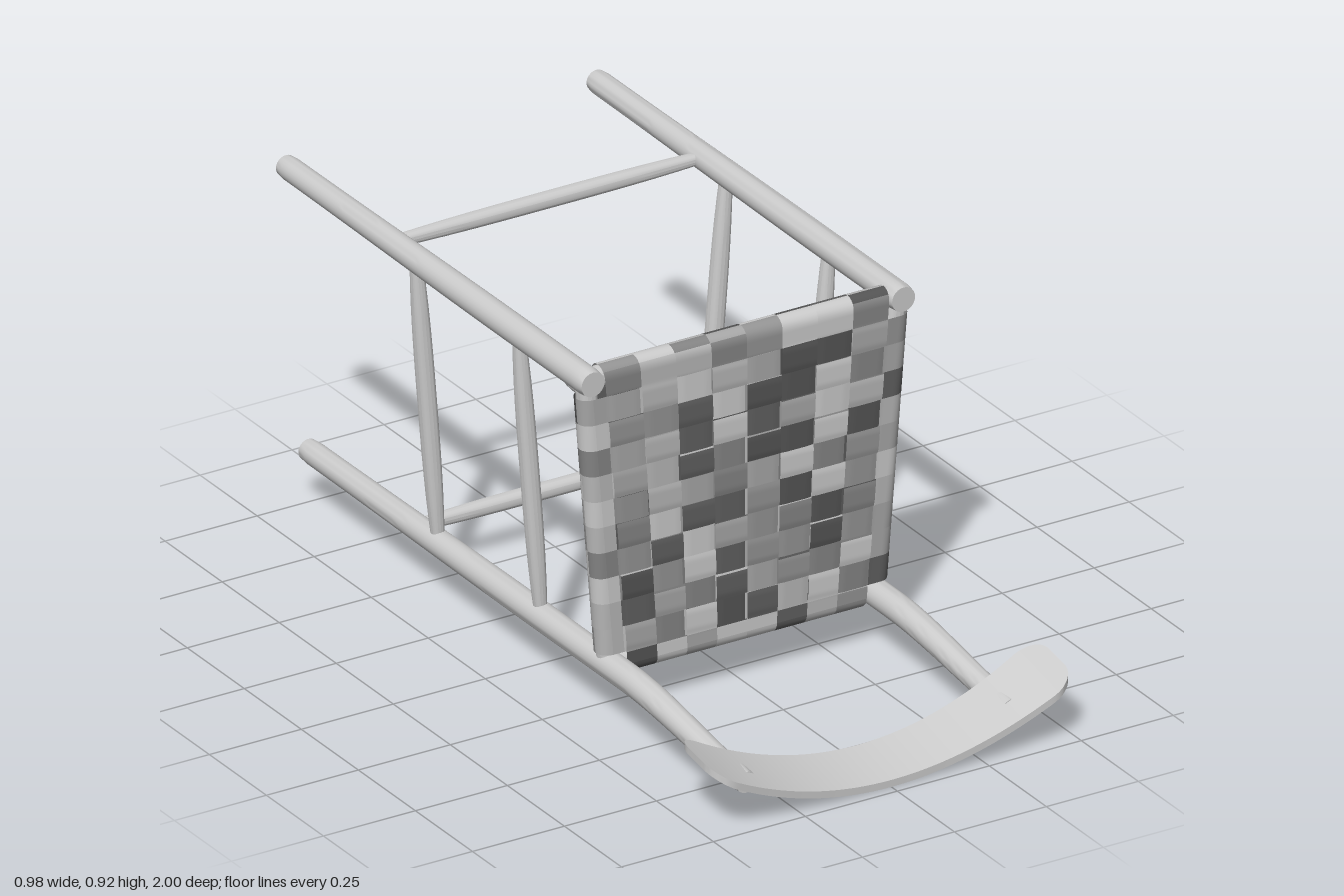
import * as THREE from 'three';
import { toCreasedNormals } from 'three/addons/utils/BufferGeometryUtils.js';

const material = new THREE.MeshStandardMaterial({ color: 0xcccccc });
// Greys of the woven patches, dark to light
const shades = [0x555555, 0x606060, 0x858585, 0x959595, 0xa8a8a8, 0xb8b8b8, 0xcccccc, 0xe0e0e0].map(
  (color) => new THREE.MeshStandardMaterial({ color, side: THREE.DoubleSide }));
const { lerp, clamp, smoothstep } = THREE.MathUtils;

// Seat frame: rung centres and radius
const SEAT_Z = 0.312, RUNG_R = 0.03, BACK_Y = 0.138, FRONT_Y = 0.885;
const BACK_X = 0.361, FRONT_X = 0.422;
const ROWS = 10, ROW_Y = 0.172, ROW_H = 0.067, HALF_COLS = 4, RELIEF = 0.002;
const depth = (y) => (y - BACK_Y) / (FRONT_Y - BACK_Y);
const legX = (y) => lerp(BACK_X, FRONT_X, depth(y));
const columnWidth = (y) => lerp(0.325, 0.386, depth(y)) / HALF_COLS;

function addMesh(parent, name, geometry, mat = material) {
  const mesh = new THREE.Mesh(geometry, mat);
  mesh.name = name;
  parent.add(mesh);
  return mesh;
}

// Round rod from a to b, fuller in the middle than at its ends
function rod(parent, name, a, b, rMid, rEnd) {
  const from = new THREE.Vector3(...a), to = new THREE.Vector3(...b);
  const length = from.distanceTo(to);
  const geometry = new THREE.CylinderGeometry(1, 1, length, 16, 12);
  const p = geometry.attributes.position;
  for (let i = 0; i < p.count; i++) {
    const t = Math.abs(p.getY(i)) / (length / 2);
    const r = lerp(rMid, rEnd, t ** 3);
    p.setXYZ(i, p.getX(i) * r, p.getY(i), p.getZ(i) * r);
  }
  geometry.computeVertexNormals();
  const mesh = addMesh(parent, name, toCreasedNormals(geometry, 0.7));
  mesh.position.copy(from).add(to).multiplyScalar(0.5);
  mesh.quaternion.setFromUnitVectors(new THREE.Vector3(0, 1, 0), to.sub(from).normalize());
}

// Leg along z, with a radius and a height rule and slightly eased ends
function leg(parent, name, x, z0, z1, radius, height) {
  const geometry = new THREE.CylinderGeometry(1, 1, z1 - z0, 24, 60).rotateX(Math.PI / 2);
  geometry.translate(0, 0, (z0 + z1) / 2);
  const p = geometry.attributes.position;
  for (let i = 0; i < p.count; i++) {
    const z = p.getZ(i);
    const ease = Math.min(z - z0, z1 - z) < 0.001 ? 0.92 : 1;
    const r = radius(z) * ease;
    p.setXYZ(i, x + p.getX(i) * r, height(z) + p.getY(i) * r, z);
  }
  addMesh(parent, name, toCreasedNormals(geometry, 0.7));
}

// Closed loop around two rungs: f runs along, n points out, ext bulges past the rungs
function loopSamples(count) {
  const samples = [];
  for (let i = 0; i < count; i++) samples.push({ f: i / count, n: 1, ext: 0 });
  for (let i = 0; i < 10; i++) {
    const a = Math.PI * i / 10;
    samples.push({ f: 1, n: Math.cos(a), ext: Math.sin(a) });
  }
  for (let i = 0; i < count; i++) samples.push({ f: 1 - i / count, n: -1, ext: 0 });
  for (let i = 0; i <= 10; i++) {
    const a = Math.PI * i / 10;
    samples.push({ f: 0, n: -Math.cos(a), ext: -Math.sin(a) });
  }
  return samples;
}

// Repeatable shade for one patch of one strip
function shadeOf(strip, cell, face) {
  const h = Math.sin(strip * 12.9898 + cell * 78.233 + face * 37.719) * 43758.5453;
  return Math.floor((h - Math.floor(h)) * shades.length);
}

// Ribbon between two edges of a loop, split into patches of different shade;
// point(sample, edge) gives a position, cellOf(sample) the patch it lies in
function ribbon(parent, name, strip, point, cellOf) {
  const positions = [], all = [], byShade = shades.map(() => []);
  loopSamples(120).forEach((s, i) => {
    positions.push(...point(s, 0), ...point(s, 1));
    if (i) {
      const a = 2 * i - 2;
      const quad = [a, a + 1, a + 2, a + 1, a + 3, a + 2];
      all.push(...quad);
      byShade[shadeOf(strip, cellOf(s), s.n > 0 ? 1 : 0)].push(...quad);
    }
  });
  const geometry = new THREE.BufferGeometry();
  geometry.setAttribute('position', new THREE.Float32BufferAttribute(positions, 3));
  geometry.setIndex(all);
  geometry.computeVertexNormals();
  byShade.forEach((index, k) => {
    if (!index.length) return;
    const patch = geometry.clone();
    patch.setIndex(index);
    addMesh(parent, name, patch, shades[k]);
  });
}

// Over-and-under height of a strip
const wave = (t) => RELIEF * clamp(1.8 * Math.sin(Math.PI * t), -1, 1);
const sign = (i) => (i % 2 === 0 ? 1 : -1);

function wovenSeat() {
  const seat = new THREE.Group();
  seat.name = 'wovenSeat';
  // Strips running from the back rung to the front rung
  const rowAt = ({ f, ext }) => (lerp(BACK_Y, FRONT_Y, f) + RUNG_R * ext - ROW_Y) / ROW_H;
  for (let i = -HALF_COLS; i < HALF_COLS; i++) {
    ribbon(seat, 'lengthwiseStrip', i, (s, edge) => {
      const y = lerp(BACK_Y, FRONT_Y, s.f) + RUNG_R * s.ext;
      const row = rowAt(s);
      const off = row > 0 && row < ROWS ? sign(i) * wave(row) : 0;
      return [(i + edge) * columnWidth(y), y, SEAT_Z + (RUNG_R + off) * s.n];
    }, (s) => Math.floor(rowAt(s)));
  }
  // Strips running from side to side
  for (let j = 0; j < ROWS; j++) {
    const xAt = ({ f, ext }, y) => (2 * f - 1) * legX(y) + RUNG_R * ext;
    const middle = ROW_Y + (j + 0.5) * ROW_H;
    ribbon(seat, 'crosswiseStrip', j + 20, (s, edge) => {
      const y = ROW_Y + (j + 1 - edge) * ROW_H;
      const x = xAt(s, y);
      const column = x / columnWidth(y);
      const off = Math.abs(column) < HALF_COLS ? -sign(j) * wave(column) : 0;
      return [x, y, SEAT_Z + (RUNG_R + off) * s.n];
    }, (s) => Math.floor(xAt(s, middle) / columnWidth(middle)));
  }
  // Rungs inside the weave
  for (const y of [BACK_Y, FRONT_Y]) {
    rod(seat, 'seatRung', [-legX(y), y, SEAT_Z], [legX(y), y, SEAT_Z], 0.027, 0.025);
  }
  for (const s of [-1, 1]) {
    rod(seat, 'seatSideRung', [s * BACK_X, BACK_Y, SEAT_Z], [s * FRONT_X, FRONT_Y, SEAT_Z], 0.027, 0.025);
  }
  return seat;
}

// Curved top slat: box cross-sections swept in x, with rounded ends
function backSlat() {
  const half = 0.49, corner = 0.06, thick = 0.009, steps = 64;
  const positions = [], index = [];
  for (let i = 0; i <= steps; i++) {
    const x = half * Math.sin(Math.PI * (i / steps - 0.5));
    const k = (x / half) ** 2;
    const d = Math.max(0, Math.abs(x) - half + corner);
    const h = 0.076 + 0.018 * k - corner + Math.sqrt(Math.max(0, corner ** 2 - d ** 2));
    const zc = 0.898 + 0.01 * k;
    for (const [sz, sy] of [[1, -1], [1, 1], [-1, 1], [-1, -1]]) {
      const z = zc + sz * h;
      positions.push(x, 0.024 + 0.152 * k - 0.17 * (z - 0.9) + sy * thick, z);
    }
    if (i) {
      const a = 4 * (i - 1), b = 4 * i;
      for (let c = 0; c < 4; c++) {
        const e = (c + 1) % 4;
        index.push(a + c, b + c, b + e, a + c, b + e, a + e);
      }
    }
  }
  const last = 4 * steps;
  index.push(0, 1, 2, 0, 2, 3, last, last + 2, last + 1, last, last + 3, last + 2);
  const geometry = new THREE.BufferGeometry();
  geometry.setAttribute('position', new THREE.Float32BufferAttribute(positions, 3));
  geometry.setIndex(index);
  return toCreasedNormals(geometry, 0.7);
}

export function createModel() {
  const chair = new THREE.Group();
  chair.name = 'chairLyingOnItsBack';

  const taper = (z) => lerp(0.029, 0.034, smoothstep(z, -1, 0));
  for (const s of [-1, 1]) {
    const side = s > 0 ? 'left' : 'right';
    // Legs: the back pair runs on and bends to carry the slat
    leg(chair, side + 'FrontLeg', s * FRONT_X, -1, 0.347, taper, () => FRONT_Y);
    leg(chair, side + 'BackLeg', s * BACK_X, -1, 0.92,
      (z) => taper(z) - 0.005 * smoothstep(z, 0.4, 0.92),
      (z) => BACK_Y - 0.053 * smoothstep(z, 0.4, 0.95));
    // Two side stretchers
    for (const z of [0.02, -0.43]) {
      rod(chair, side + 'Stretcher', [s * BACK_X, BACK_Y, z], [s * FRONT_X, FRONT_Y, z], 0.023, 0.015);
    }
  }
  // Front and back stretchers
  rod(chair, 'frontStretcher', [-FRONT_X, FRONT_Y, -0.53], [FRONT_X, FRONT_Y, -0.53], 0.021, 0.015);
  rod(chair, 'backStretcher', [-BACK_X, BACK_Y, -0.53], [BACK_X, BACK_Y, -0.53], 0.021, 0.015);

  chair.add(wovenSeat());
  addMesh(chair, 'backSlat', backSlat());
  return chair;
}
